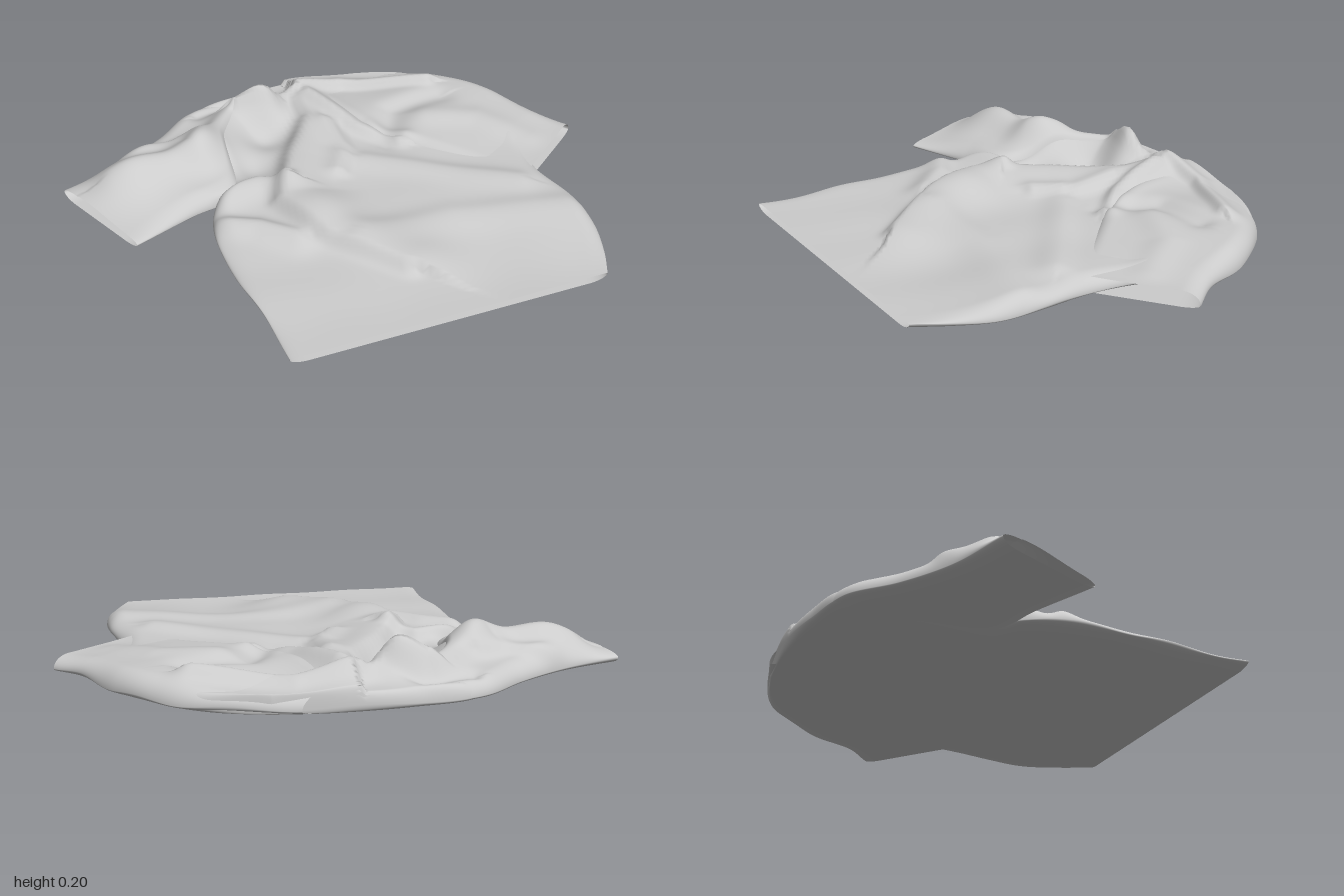
import * as THREE from 'three';

const { smoothstep, clamp, lerp } = THREE.MathUtils;

// Creases as [points (x, z), height, width on one side, width on the other]
const folds = [
  [[[-0.17, -0.62], [-0.11, -0.48], [-0.16, -0.2], [-0.17, 0.08], [0, 0.26], [0.3, 0.4]], 0.05, 0.16, 0.035], // front panel edge
  [[[-0.82, -0.02], [-0.53, -0.17], [-0.46, -0.35], [-0.42, -0.47], [-0.3, -0.53]], 0.05, 0.06, 0.09],      // shoulder ridge
  [[[-0.4, -0.5], [-0.28, -0.53], [-0.16, -0.66], [0, -0.74], [0.35, -0.76]], 0.035, 0.05, 0.025],          // collar edge
  [[[-0.4, 0.05], [-0.27, -0.05], [-0.16, -0.03]], 0.035, 0.03, 0.07],                                     // underarm pleat
  [[[-0.4, 0.2], [-0.25, 0.21], [-0.1, 0.27]], 0.03, 0.04, 0.06],
  [[[-0.12, -0.6], [0.08, -0.42], [0.25, -0.35]], 0.035, 0.05, 0.03],                                      // chest pleats
  [[[-0.03, -0.42], [0.04, -0.28], [0.03, -0.12]], 0.025, 0.03, 0.05],
  [[[0.15, 0.25], [0.45, 0.11], [0.88, 0.02]], 0.02, 0.07, 0.1],
  [[[0.12, -0.22], [0.4, -0.17], [0.7, -0.12]], 0.018, 0.05, 0.07],
  [[[0.2, -0.38], [0.22, -0.55], [0.4, -0.66]], -0.025, 0.05, 0.06],                                       // sleeve hollow
  [[[0.35, -0.5], [0.55, -0.52], [0.75, -0.42]], 0.015, 0.06, 0.06],
  [[[-0.8, -0.2], [-0.62, -0.24], [-0.55, -0.3]], 0.025, 0.03, 0.05],
  [[[-0.55, -0.5], [-0.4, -0.6], [-0.28, -0.58]], -0.02, 0.03, 0.04],
];

// Broad bumps and hollows as [x, z, height, radius]
const bumps = [
  [-0.5, -0.2, 0.06, 0.1], [-0.3, -0.53, 0.06, 0.09], [-0.78, 0.0, 0.07, 0.14],
  [-0.02, 0.12, 0.03, 0.14], [-0.27, -0.38, -0.04, 0.09], [-0.29, -0.16, -0.03, 0.08],
  [0.35, -0.62, 0.02, 0.15], [0.6, 0.25, -0.012, 0.2],
];

// Signed distance from a point to a polyline
function creaseDistance(points, x, z) {
  let best = Infinity, sign = 1;
  for (let i = 0; i < points.length - 1; i++) {
    const [ax, az] = points[i], [bx, bz] = points[i + 1];
    const dx = bx - ax, dz = bz - az;
    const k = clamp(((x - ax) * dx + (z - az) * dz) / (dx * dx + dz * dz), 0, 1);
    const d = Math.hypot(x - ax - k * dx, z - az - k * dz);
    if (d < best) {
      best = d;
      sign = dx * (z - az) - dz * (x - ax) > 0 ? 1 : -1;
    }
  }
  return best * sign;
}

// Height of the crumpled cloth above the ground
function clothHeight(x, z) {
  let h = 0.038 + 0.03 * (1 - smoothstep(z, -0.1, 0.5));
  for (const [points, height, wNeg, wPos] of folds) {
    const d = creaseDistance(points, x, z);
    h += height * Math.exp(-((d / (d < 0 ? wNeg : wPos)) ** 2));
  }
  for (const [bx, bz, height, r] of bumps) {
    h += height * Math.exp(-((x - bx) ** 2 + (z - bz) ** 2) / (r * r));
  }
  h += 0.003 * Math.sin(13 * x + 7 * z) * Math.sin(11 * z - 5 * x);
  return Math.max(h, 0.025);
}

const curve = (points) =>
  new THREE.CatmullRomCurve3(points.map(([x, z]) => new THREE.Vector3(x, 0, z)), false, 'centripetal');

// Flattened cloth tube between two edge curves, open at both ends
function clothTube(name, edgeA, edgeB, { lift = () => 0, scale = () => 1, rows = 100, half = 56 } = {}) {
  const a = curve(edgeA), b = curve(edgeB);
  const ring = half * 2, positions = [], index = [];
  for (let i = 0; i <= rows; i++) {
    const t = i / rows;
    const p = a.getPoint(t), q = b.getPoint(t);
    const width = p.distanceTo(q);
    for (let j = 0; j < ring; j++) {
      const angle = (j / ring) * Math.PI * 2;
      const s = (1 - Math.cos(angle)) / 2;
      const x = lerp(p.x, q.x, s), z = lerp(p.z, q.z, s);
      // Rounded border where the upper and lower layers meet
      const border = 1 - Math.min(1, (Math.min(s, 1 - s) * width) / 0.07);
      const round = Math.sqrt(Math.max(0, 1 - border * border));
      const mid = 0.022 + 0.006 * Math.sin(17 * x + 9 * z);
      const top = clothHeight(x, z) * scale(t) + lift(t);
      const y = j <= half ? lerp(mid, Math.max(top, 0.012), round) : lerp(mid, 0.002, round);
      positions.push(x, y, z);
    }
  }
  for (let i = 0; i < rows; i++) {
    for (let j = 0; j < ring; j++) {
      const k = (j + 1) % ring;
      const v0 = i * ring + j, v1 = i * ring + k, v2 = v0 + ring, v3 = v1 + ring;
      index.push(v0, v1, v2, v1, v3, v2);
    }
  }
  const geometry = new THREE.BufferGeometry();
  geometry.setAttribute('position', new THREE.Float32BufferAttribute(positions, 3));
  geometry.setIndex(index);
  geometry.computeVertexNormals();
  const mesh = new THREE.Mesh(geometry,
    new THREE.MeshStandardMaterial({ color: 0xcccccc, roughness: 0.9, side: THREE.DoubleSide }));
  mesh.name = name;
  return mesh;
}

export function createModel() {
  const shirt = new THREE.Group();
  shirt.name = 'crumpledShirt';

  // Body, from the hem to the shoulder arc
  shirt.add(clothTube('body',
    [[-0.09, 0.89], [-0.18, 0.69], [-0.3, 0.48], [-0.41, 0.22], [-0.42, 0.06], [-0.38, -0.04], [-0.5, -0.3], [-0.59, -0.53], [-0.42, -0.67], [-0.2, -0.78], [0.05, -0.86]],
    [[0.99, 0.38], [0.99, 0.25], [0.97, 0.1], [0.9, -0.06], [0.78, -0.24], [0.74, -0.38], [0.72, -0.55], [0.66, -0.72], [0.5, -0.82], [0.3, -0.885], [0.05, -0.86]],
    { rows: 150, half: 90, scale: (t) => lerp(0.75, 1, smoothstep(t, 0, 0.2)) }));

  // Right sleeve, spread to the side
  shirt.add(clothTube('rightSleeve',
    [[-0.38, -0.69], [-0.5, -0.62], [-0.61, -0.53], [-0.7, -0.35], [-0.83, -0.17], [-1.0, -0.02]],
    [[-0.28, -0.6], [-0.36, -0.47], [-0.4, -0.28], [-0.35, -0.03], [-0.5, 0.1], [-0.68, 0.29]],
    {
      lift: (t) => lerp(-0.015, 0.012, smoothstep(t, 0, 0.35)),
      scale: (t) => lerp(1, 0.45, smoothstep(t, 0.72, 1)),
    }));

  // Left sleeve, folded over the body
  shirt.add(clothTube('leftSleeve',
    [[-0.05, -0.85], [0.3, -0.89], [0.46, -0.85], [0.62, -0.77], [0.8, -0.62], [0.92, -0.56]],
    [[-0.18, -0.68], [-0.06, -0.58], [0.1, -0.42], [0.25, -0.34], [0.48, -0.25], [0.72, -0.16]],
    {
      lift: (t) => 0.032 * smoothstep(t, 0.0, 0.4) - 0.01,
      scale: (t) => lerp(1, 0.55, smoothstep(t, 0.6, 1)),
    }));

  return shirt;
}
